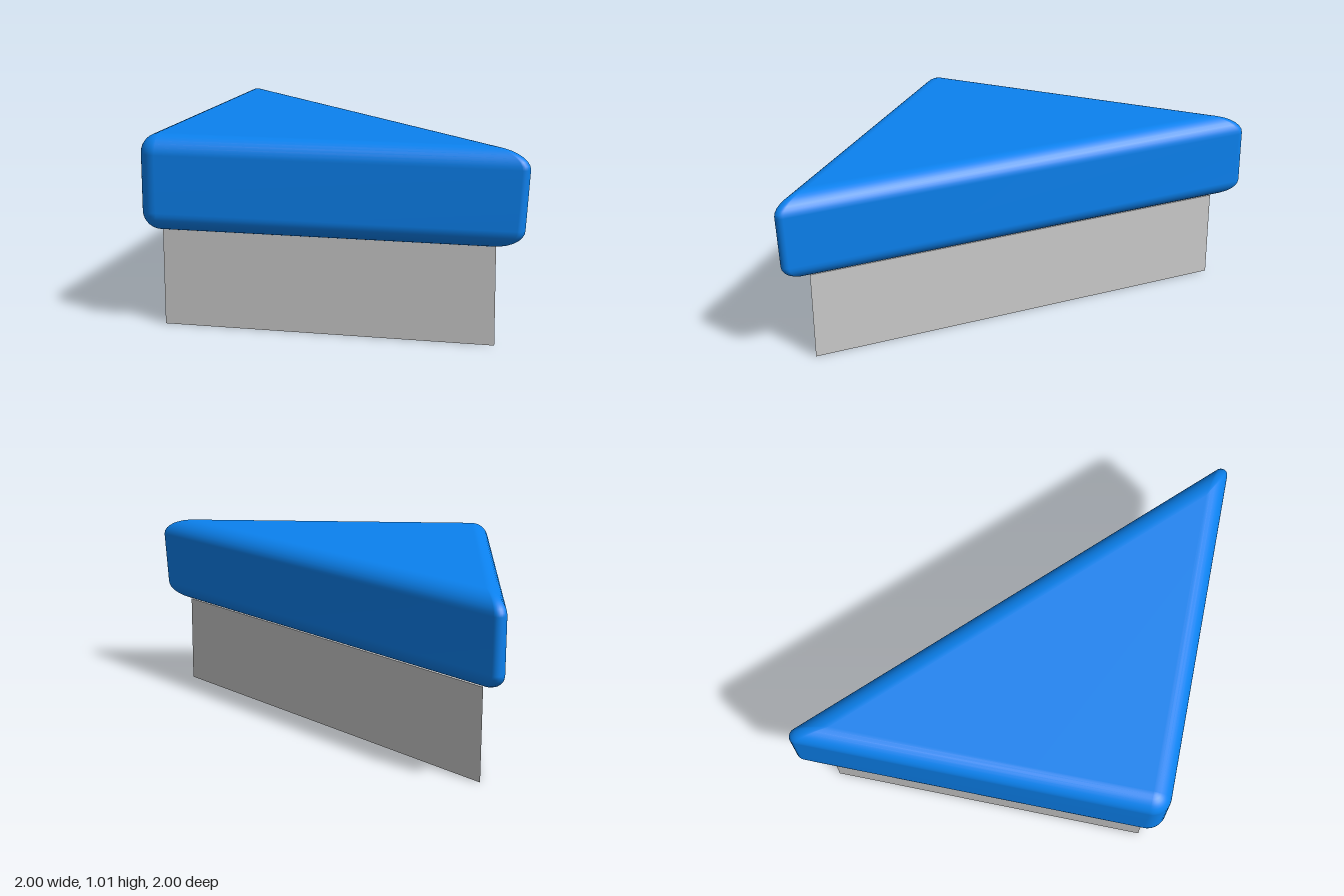
import * as THREE from 'three';
import { mergeVertices } from 'three/addons/utils/BufferGeometryUtils.js';

const BOTTOM = 0.51, TOP = 1.01, BEVEL = 0.1;
const ARC = 10, STEPS = 8;

// Corners, counter-clockwise from above: inner cap point, rounding centre, radius, arc in degrees
const corners = [
  { inner: [-0.9, 0.9], centre: [-0.9, 0.9], r: 0.1, arc: [180, 270] },
  { inner: [0.78, 0.9], centre: [0.965, 0.965], r: 0.035, arc: [270, 405], lean: 0.02 },
  { inner: [-0.9, -0.79], centre: [-0.96, -0.96], r: 0.04, arc: [45, 180] },
];

// Triangular cushion: rings that grow from the flat cap to the rounded outline and back
function cushionGeometry() {
  const rings = [];
  for (let i = 0; i <= STEPS; i++) {
    const a = (i / STEPS) * Math.PI / 2;
    rings.push([Math.sin(a), TOP - BEVEL * (1 - Math.cos(a))]);
  }
  for (let i = STEPS; i >= 0; i--) {
    const a = (i / STEPS) * Math.PI / 2;
    rings.push([Math.sin(a), BOTTOM + BEVEL * (1 - Math.cos(a))]);
  }

  const positions = [], indices = [];
  for (const [grow, y] of rings) {
    for (const { inner, centre, r, arc, lean = 0 } of corners) {
      for (let k = 0; k <= ARC; k++) {
        const t = THREE.MathUtils.degToRad(THREE.MathUtils.lerp(arc[0], arc[1], k / ARC));
        const low = y < (TOP + BOTTOM) / 2 ? lean : 0;
        const x = centre[0] + r * Math.cos(t) - low;
        const z = centre[1] - r * Math.sin(t);
        positions.push(
          THREE.MathUtils.lerp(inner[0], x, grow), y,
          THREE.MathUtils.lerp(inner[1], z, grow));
      }
    }
  }

  const n = corners.length * (ARC + 1);
  for (let j = 0; j < rings.length - 1; j++) {
    for (let i = 0; i < n; i++) {
      const a = j * n + i, b = j * n + (i + 1) % n;
      indices.push(a, a + n, b, b, a + n, b + n);
    }
  }
  // Flat top and bottom
  const s = ARC + 1, last = (rings.length - 1) * n;
  indices.push(0, s, 2 * s, last, last + 2 * s, last + s);

  const geometry = new THREE.BufferGeometry();
  geometry.setAttribute('position', new THREE.Float32BufferAttribute(positions, 3));
  geometry.setIndex(indices);
  const merged = mergeVertices(geometry);
  merged.computeVertexNormals();
  return merged;
}

// Sharp-edged triangular plinth
function baseGeometry() {
  const shape = new THREE.Shape([
    new THREE.Vector2(-0.9, -0.9),
    new THREE.Vector2(0.83, -0.9),
    new THREE.Vector2(-0.9, 0.85),
  ]);
  const geometry = new THREE.ExtrudeGeometry(shape, { depth: BOTTOM, bevelEnabled: false });
  return geometry.rotateX(-Math.PI / 2);
}

export function createModel() {
  const group = new THREE.Group();
  group.name = 'triangularStool';

  const base = new THREE.Mesh(baseGeometry(), new THREE.MeshStandardMaterial({ color: 0xcccccc }));
  base.name = 'base';

  const cushion = new THREE.Mesh(cushionGeometry(), new THREE.MeshStandardMaterial({ color: 0x0b82f0 }));
  cushion.name = 'seatCushion';

  group.add(base, cushion);
  return group;
}
